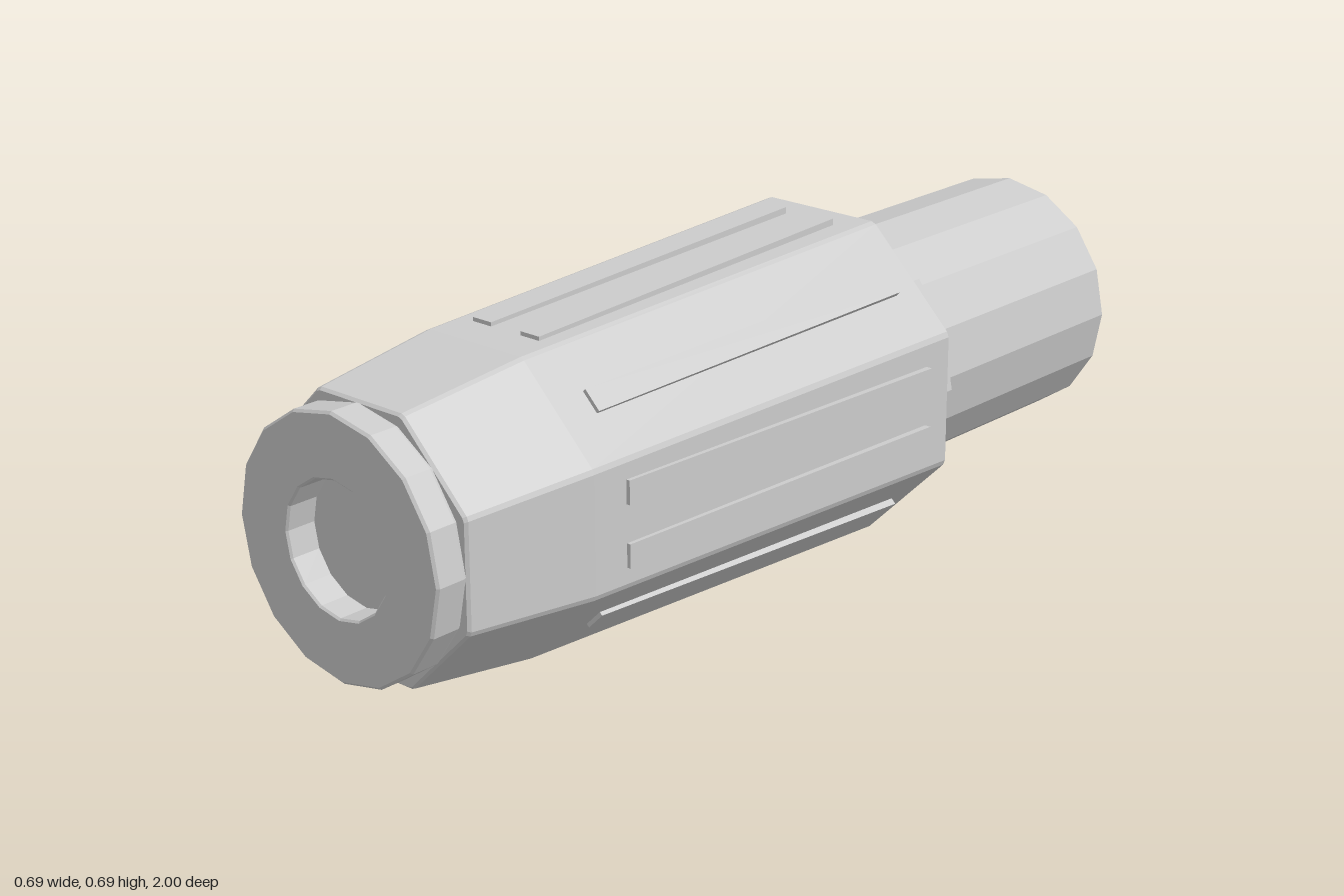
import * as THREE from 'three';

const AXIS_HEIGHT = 0.346;
const material = new THREE.MeshStandardMaterial({ color: 0xcccccc, flatShading: true });

// Sixteen-sided turned solid along z; profile is [radius, z] from back to front
function turned(profile) {
  return new THREE.LatheGeometry(profile.map(([r, z]) => new THREE.Vector2(r, z)), 16);
}

// Octagonal solid with narrow chamfers on its long edges; radii are apothems
function octagonal(profile) {
  const geometry = turned(profile);
  const position = geometry.attributes.position;
  const corner = Math.PI / 8, chamfer = 0.017;
  const scale = 1 / Math.cos(corner - chamfer);
  for (let i = 0; i < position.count; i++) {
    const side = Math.floor(i / profile.length);
    const r = profile[i % profile.length][0] * scale;
    const angle = Math.floor(side / 2) * Math.PI / 4 + corner + (side % 2 ? chamfer : -chamfer);
    position.setX(i, r * Math.sin(angle));
    position.setZ(i, r * Math.cos(angle));
  }
  return geometry;
}

export function createModel() {
  const model = new THREE.Group();
  model.name = 'taperedHandle';

  function add(name, geometry) {
    const mesh = new THREE.Mesh(geometry, material);
    mesh.name = name;
    mesh.position.y = AXIS_HEIGHT;
    model.add(mesh);
    return mesh;
  }

  // Rear tube with a fine bevel at its end
  add('rearTube', turned([
    [0, -1], [0.256, -1], [0.261, -0.995], [0.261, -0.36], [0, -0.36],
  ]).rotateX(Math.PI / 2));

  // Collar between tube and grip
  add('collar', turned([
    [0, -0.396], [0.3, -0.396], [0.308, -0.388], [0.308, -0.33], [0, -0.33],
  ]).rotateX(Math.PI / 2));

  // Tapered eight-sided grip
  add('grip', octagonal([
    [0, -0.342], [0.329, -0.342], [0.334, -0.337], [0.297, 0.65],
    [0.263, 0.926], [0.258, 0.932], [0, 0.932],
  ]).rotateX(Math.PI / 2));

  // Front ring with a shallow round recess
  add('frontRing', turned([
    [0, 0.92], [0.256, 0.925], [0.261, 0.938], [0.261, 0.995], [0.256, 1],
    [0.136, 1], [0.132, 0.996], [0.132, 0.935], [0, 0.935],
  ]).rotateX(Math.PI / 2));

  // Raised ribs: two on each upright or level face, one on each diagonal face
  const width = 0.048;
  const profile = new THREE.Shape([
    [-0.57, 0.28], [0.27, 0.31], [0.27, 0.345], [-0.57, 0.308],
  ].map(([a, r]) => new THREE.Vector2(a, r)));
  const rib = new THREE.ExtrudeGeometry(profile, { depth: width, bevelEnabled: false });
  rib.translate(0, 0, -width / 2).rotateY(Math.PI / 2);
  for (let face = 0; face < 8; face++) {
    for (const offset of face % 2 ? [0] : [-0.062, 0.062]) {
      const geometry = rib.clone().translate(offset, 0, 0).rotateZ(face * Math.PI / 4);
      add('gripRib', geometry);
    }
  }
  return model;
}
